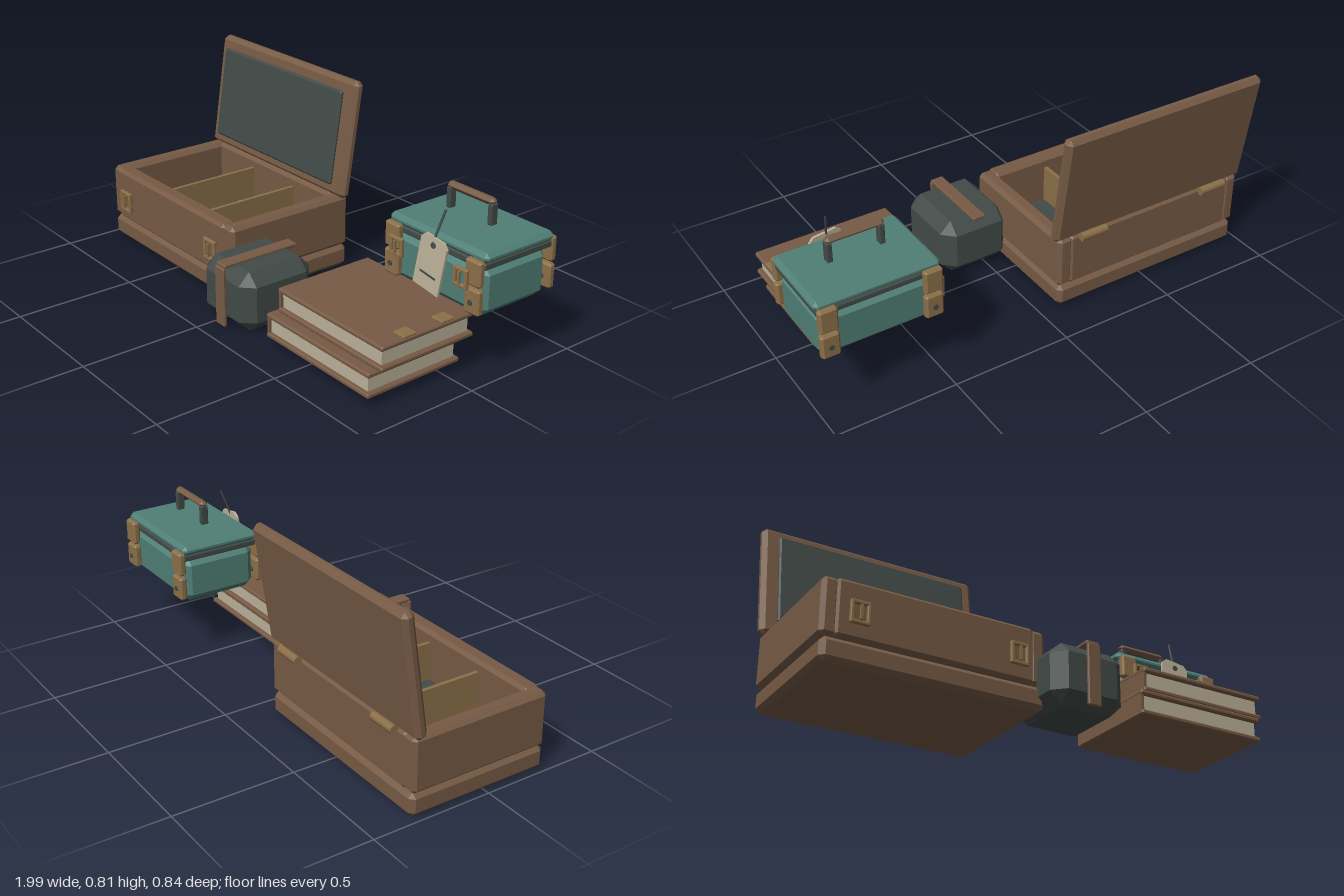
import * as THREE from 'three';
import { ConvexGeometry } from 'three/addons/geometries/ConvexGeometry.js';

const material = (name, color) => new THREE.MeshStandardMaterial({ name, color });

// Box with bevelled edges and corners
function bevelBox(w, h, d, c) {
  const [x, y, z] = [w / 2, h / 2, d / 2];
  const points = [];
  for (const sx of [-1, 1]) for (const sy of [-1, 1]) for (const sz of [-1, 1]) {
    points.push(
      new THREE.Vector3(sx * x, sy * (y - c), sz * (z - c)),
      new THREE.Vector3(sx * (x - c), sy * y, sz * (z - c)),
      new THREE.Vector3(sx * (x - c), sy * (y - c), sz * z));
  }
  return new ConvexGeometry(points);
}

export function createModel() {
  const leather = material('brown leather', 0x775b45);
  const dark = material('dark cloth', 0x424b48);
  const teal = material('teal paint', 0x507f76);
  const paper = material('paper', 0xbcb29a);
  const brass = material('aged brass', 0x8c7049);

  const model = new THREE.Group();
  model.name = 'luggageSet';

  const add = (parent, name, geometry, mat, x = 0, y = 0, z = 0) => {
    const mesh = new THREE.Mesh(geometry, mat);
    mesh.name = name;
    mesh.position.set(x, y, z);
    parent.add(mesh);
    return mesh;
  };
  // Box given by its limits on each axis
  const block = (parent, name, mat, [x0, x1], [y0, y1], [z0, z1], c = 0) => {
    const [w, h, d] = [x1 - x0, y1 - y0, z1 - z0];
    const geometry = c ? bevelBox(w, h, d, c) : new THREE.BoxGeometry(w, h, d);
    return add(parent, name, geometry, mat, (x0 + x1) / 2, (y0 + y1) / 2, (z0 + z1) / 2);
  };
  const group = (name, parent = model) => {
    const g = new THREE.Group();
    g.name = name;
    parent.add(g);
    return g;
  };
  // Rectangular buckle frame with a crossbar and a prong
  const buckle = (parent, x, y, z, w, h) => {
    const g = group('buckle', parent);
    g.position.set(x, y, z);
    const t = 0.014;
    for (const s of [-1, 1]) {
      add(g, 'buckleSide', bevelBox(t, h, 0.016, 0.003), brass, s * (w - t) / 2);
      add(g, 'buckleRail', bevelBox(w, t, 0.016, 0.003), brass, 0, s * (h - t) / 2);
    }
    add(g, 'bucklePin', new THREE.BoxGeometry(0.009, h * 0.65, 0.01), brass, 0, 0, 0.009);
  };

  // Open trunk: plinth and four walls
  const trunk = group('openTrunk');
  block(trunk, 'trunkBase', leather, [-0.98, -0.08], [0, 0.096], [-0.33, 0.275], 0.02);
  for (const [x0, x1] of [[-0.985, -0.917], [-0.147, -0.078]])
    block(trunk, 'trunkSideWall', leather, [x0, x1], [0.096, 0.323], [-0.328, 0.27], 0.016);
  for (const [z0, z1] of [[-0.33, -0.265], [0.205, 0.277]])
    block(trunk, 'trunkLongWall', leather, [-0.935, -0.13], [0.096, 0.324], [z0, z1], 0.014);

  // Lined interior with dividers and loose sheets
  block(trunk, 'lining', dark, [-0.925, -0.14], [0.09, 0.12], [-0.28, 0.215]);
  for (const x of [-0.67, -0.38])
    block(trunk, 'divider', brass, [x - 0.008, x + 0.008], [0.12, 0.28], [-0.27, 0.21]);
  for (const [x, turn] of [[-0.825, -0.12], [-0.543, 0.16]])
    add(trunk, 'sheet', new THREE.BoxGeometry(0.176, 0.016, 0.28), paper, x, 0.14, -0.06).rotation.y = turn;

  // Leaning lid with padded inner panel
  const lid = group('trunkLid', trunk);
  lid.position.set(-0.53, 0.56, -0.336);
  lid.rotation.x = -0.15;
  add(lid, 'lidShell', bevelBox(0.94, 0.5, 0.052, 0.018), leather);
  add(lid, 'lidPanel', bevelBox(0.82, 0.4, 0.02, 0.007), dark, 0, 0, 0.04);

  // Trunk hardware
  for (const x of [-0.848, -0.205]) buckle(trunk, x, 0.197, 0.291, 0.078, 0.09);
  for (const x of [-0.83, -0.23])
    add(trunk, 'hinge', new THREE.CylinderGeometry(0.018, 0.018, 0.12, 10), brass, x, 0.318, -0.342).rotation.z = Math.PI / 2;

  // Bed roll with strap
  const roll = group('bedRoll');
  block(roll, 'rollBody', dark, [-0.115, 0.2], [0, 0.25], [0.065, 0.404], 0.05);
  block(roll, 'topStrap', leather, [0.013, 0.07], [0.246, 0.262], [0.062, 0.41], 0.004);
  block(roll, 'frontStrap', leather, [0.013, 0.07], [0, 0.248], [0.403, 0.418], 0.004);

  // Two stacked books
  for (const [x, y, z] of [[0.285, 0.037, 0.155], [0.322, 0.148, 0.128]]) {
    const book = group('book');
    book.position.set(x, y, z);
    for (const y0 of [0, 0.081])
      block(book, 'cover', leather, [0, 0.583], [y0, y0 + 0.021], [-0.22, 0.22], 0.006);
    block(book, 'pages', paper, [0.012, 0.565], [0.02, 0.082], [-0.204, 0.204]);
    block(book, 'spine', leather, [0.001, 0.013], [0.015, 0.087], [-0.214, 0.214]);
    for (const side of [-1, 1])
      block(book, 'coverClasp', brass, [0.525, 0.582], [0.1, 0.11],
        [side * 0.09 - 0.03, side * 0.09 + 0.03], 0.003);
  }

  // Small painted case: body, seal band and lid
  const box = group('smallCase');
  block(box, 'caseBody', teal, [0.505, 0.975], [0.25, 0.447], [-0.386, -0.053], 0.032);
  block(box, 'sealBand', dark, [0.495, 0.982], [0.445, 0.472], [-0.391, -0.05], 0.005);
  block(box, 'caseLid', teal, [0.486, 0.992], [0.47, 0.511], [-0.396, -0.045], 0.016);

  // Corner brackets and rivets
  for (const x of [0.53, 0.948]) for (const z of [-0.036, -0.4]) {
    for (const y of [0.326, 0.435])
      add(box, 'cornerBracket', bevelBox(0.075, 0.1, 0.032, 0.008), brass, x, y, z);
    add(box, 'rivet', new THREE.CylinderGeometry(0.011, 0.011, 0.04, 8), dark, x, 0.322, z).rotation.x = Math.PI / 2;
  }
  for (const x of [0.575, 0.908]) buckle(box, x, 0.41, -0.008, 0.07, 0.075);

  // Raised carrying handle
  for (const x of [0.635, 0.845])
    block(box, 'handlePost', dark, [x - 0.011, x + 0.011], [0.532, 0.614], [-0.234, -0.202], 0.003);
  block(box, 'handleGrip', leather, [0.622, 0.856], [0.608, 0.635], [-0.236, -0.2], 0.012);

  // Hanging tag and cord
  const tag = group('tag', box);
  tag.position.set(0.752, 0.403, -0.013);
  tag.rotation.set(-0.06, 0, -0.14);
  const w = 0.066, h = 0.105;
  const outline = new THREE.Shape([[-w, -h], [w, -h], [w, h - 0.02], [w - 0.02, h], [0.02 - w, h], [-w, h - 0.02]]
    .map(([x, y]) => new THREE.Vector2(x, y)));
  add(tag, 'tagCard', new THREE.ExtrudeGeometry(outline, { depth: 0.01, bevelEnabled: false }), paper, 0, 0, -0.005);
  add(tag, 'tagEyelet', new THREE.CylinderGeometry(0.012, 0.012, 0.008, 10), dark, 0, 0.075, 0.004).rotation.x = Math.PI / 2;
  add(tag, 'tagLine', new THREE.BoxGeometry(0.08, 0.007, 0.004), dark, 0, -0.045, 0.006);
  const cord = new THREE.LineCurve3(new THREE.Vector3(0.757, 0.49, -0.017), new THREE.Vector3(0.772, 0.608, -0.058));
  add(box, 'tagCord', new THREE.TubeGeometry(cord, 1, 0.005, 6), dark);

  return model;
}
